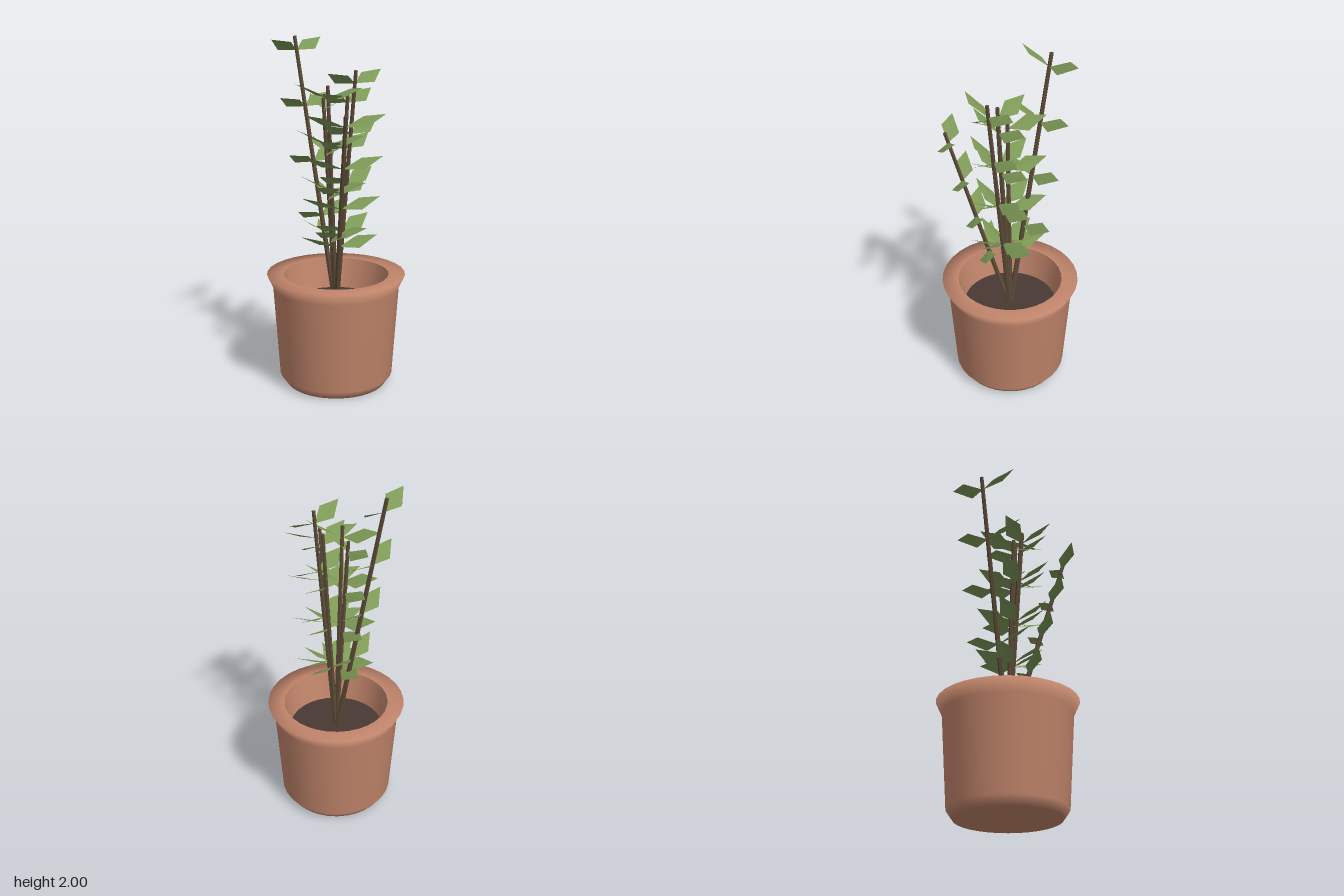
import * as THREE from 'three';

const mat = (name, color, extra = {}) => {
  const m = new THREE.MeshStandardMaterial({ color, ...extra });
  m.name = name;
  return m;
};

// Folded diamond leaf growing along +x, rising and rolled to one side
function leafGeometry() {
  const base = [0, 0, 0], tip = [0.217, 0.066, 0];
  const left = [0.108, 0.051, -0.048], right = [0.108, 0.004, 0.048];
  const g = new THREE.BufferGeometry();
  g.setAttribute('position', new THREE.Float32BufferAttribute(
    [base, tip, left, base, right, tip].flat(), 3));
  g.computeVertexNormals();
  return g;
}

export function createModel() {
  const model = new THREE.Group();
  model.name = 'pottedPlant';

  const clay = mat('terracotta', 0xc1856b);
  const earth = mat('soil', 0x4a3933);
  const bark = mat('bark', 0x5a4936, { flatShading: true });
  const green = mat('leafGreen', 0x7c9856, { side: THREE.DoubleSide });

  const add = (parent, name, geometry, material) => {
    const mesh = new THREE.Mesh(geometry, material);
    mesh.name = name;
    parent.add(mesh);
    return mesh;
  };
  const lathe = (points) =>
    new THREE.LatheGeometry(points.map(([r, y]) => new THREE.Vector2(r, y)), 32);

  // Pot: outer shell with flared rim, inner wall, soil
  add(model, 'potOuter', lathe([
    [0, 0], [0.295, 0], [0.33, 0.05], [0.365, 0.58], [0.4, 0.655], [0.305, 0.652],
  ]), clay);
  add(model, 'potInner', lathe([[0.305, 0.652], [0.27, 0.46]]), clay);
  const soil = add(model, 'soil', new THREE.CircleGeometry(0.272, 32), earth);
  soil.rotation.x = -Math.PI / 2;
  soil.position.y = 0.475;

  // Stems fan out from one root point; each carries four opposite leaf pairs
  const root = new THREE.Vector3(0, 0.43, 0);
  const tips = [
    [-0.25, 1.995, -0.153],
    [0.117, 1.825, 0.088],
    [0.084, 1.61, 0.34],
    [-0.037, 1.74, 0.082],
    [-0.067, 1.67, 0.035],
    [0.07, 1.71, 0.046],
  ];
  const leaf = leafGeometry();
  const up = new THREE.Vector3(0, 1, 0);

  tips.forEach((p, i) => {
    const branch = new THREE.Group();
    branch.name = `branch${i + 1}`;
    model.add(branch);

    const tip = new THREE.Vector3(...p);
    const axis = tip.clone().sub(root);
    const stem = add(branch, 'stem',
      new THREE.CylinderGeometry(0.011, 0.016, axis.length(), 6), bark);
    stem.position.copy(root).addScaledVector(axis, 0.5);
    stem.quaternion.setFromUnitVectors(up, axis.clone().normalize());

    // Leaves point sideways, square to the lean of the stem
    const heading = Math.atan2(axis.x, axis.z);
    for (const t of [0.35, 0.55, 0.75, 0.95]) {
      for (const turn of [0, Math.PI]) {
        const l = add(branch, 'leaf', leaf, green);
        l.position.copy(root).addScaledVector(axis, t);
        l.rotation.y = heading + turn;
      }
    }
  });

  return model;
}
